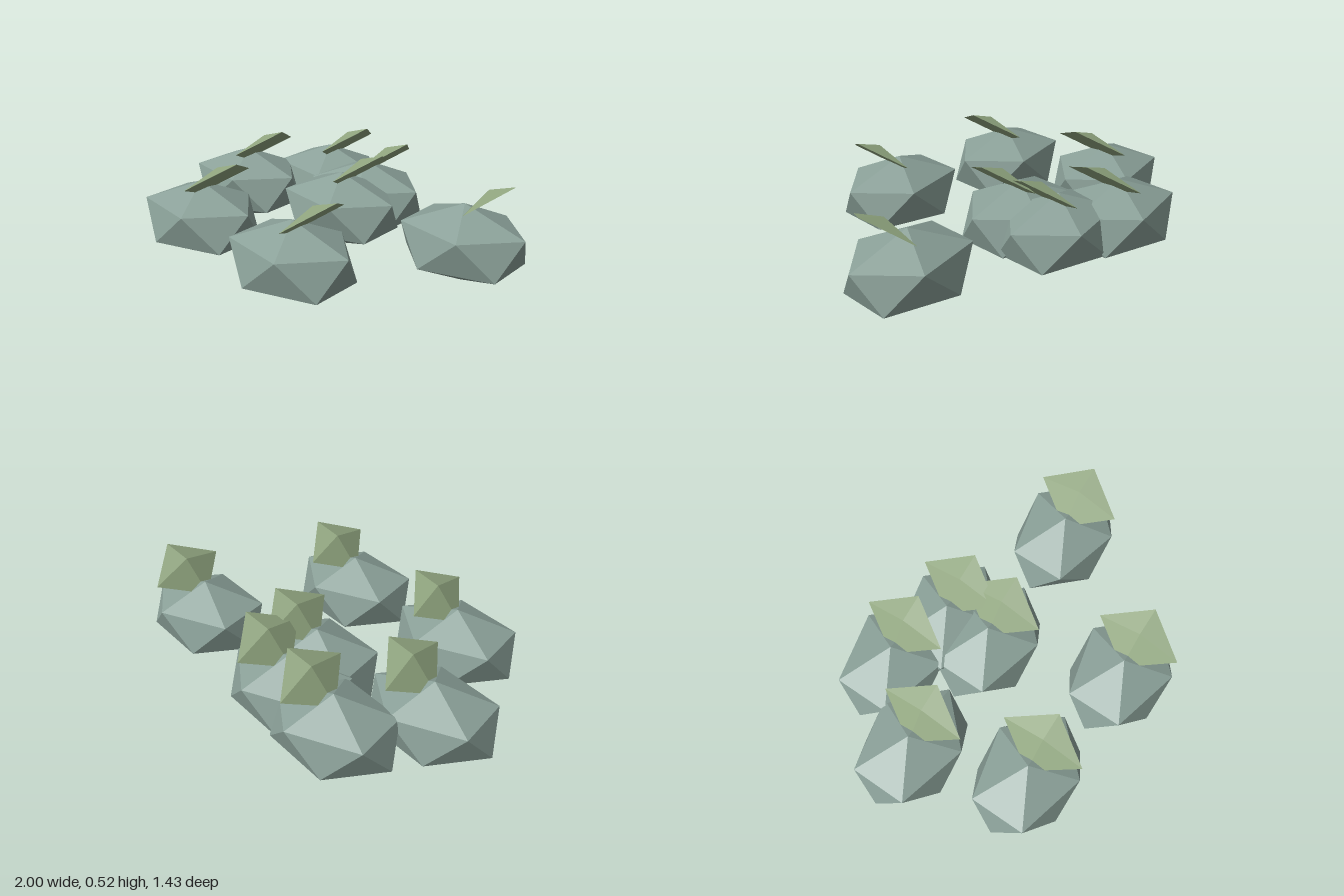
import * as THREE from 'three';
import { ConvexGeometry } from 'three/addons/geometries/ConvexGeometry.js';

const V = (x, y, z) => new THREE.Vector3(x, y, z);

// Flattened twenty-sided stone: two poles and two staggered rings of five
function rockGeometry() {
  const rx = 0.317, rz = 0.24;
  const points = [V(0, 0, 0), V(0, 0.388, 0)];
  for (let i = 0; i < 5; i++) {
    const a = (i * Math.PI * 2) / 5;
    const x = rx * Math.cos(a), z = rz * Math.sin(a);
    points.push(V(x, 0.281, z), V(-x, 0.107, z));
  }
  return new ConvexGeometry(points);
}

// Leaning four-sided shallow pyramid with a flat underside
function leafGeometry() {
  const x = 0.12, y = 0.422;
  return new ConvexGeometry([
    V(x + 0.132, y + 0.102, 0), V(x - 0.132, y - 0.102, 0),
    V(x, y, 0.217), V(x, y, -0.217),
    V(x, y + 0.06, 0),
  ]);
}

export function createModel() {
  const stone = new THREE.MeshStandardMaterial({ color: 0x8aa098, flatShading: true });
  stone.name = 'grey green stone';
  const moss = new THREE.MeshStandardMaterial({ color: 0x90a57f, flatShading: true });
  moss.name = 'moss green';

  const rockShape = rockGeometry();
  const leafShape = leafGeometry();

  const model = new THREE.Group();
  model.name = 'rockCluster';

  // Position of each stone on the ground: x, z
  const spots = [
    [-0.683, -0.152], [-0.374, -0.486], [-0.047, -0.387], [-0.03, -0.153],
    [0.683, -0.168], [-0.484, 0.388], [0.2, 0.484],
  ];
  spots.forEach(([x, z], i) => {
    const group = new THREE.Group();
    group.name = `mossyRock${i + 1}`;
    const rock = new THREE.Mesh(rockShape, stone);
    rock.name = 'rock';
    const leaf = new THREE.Mesh(leafShape, moss);
    leaf.name = 'leaf';
    group.add(rock, leaf);
    group.position.set(x, 0, z);
    model.add(group);
  });
  return model;
}
